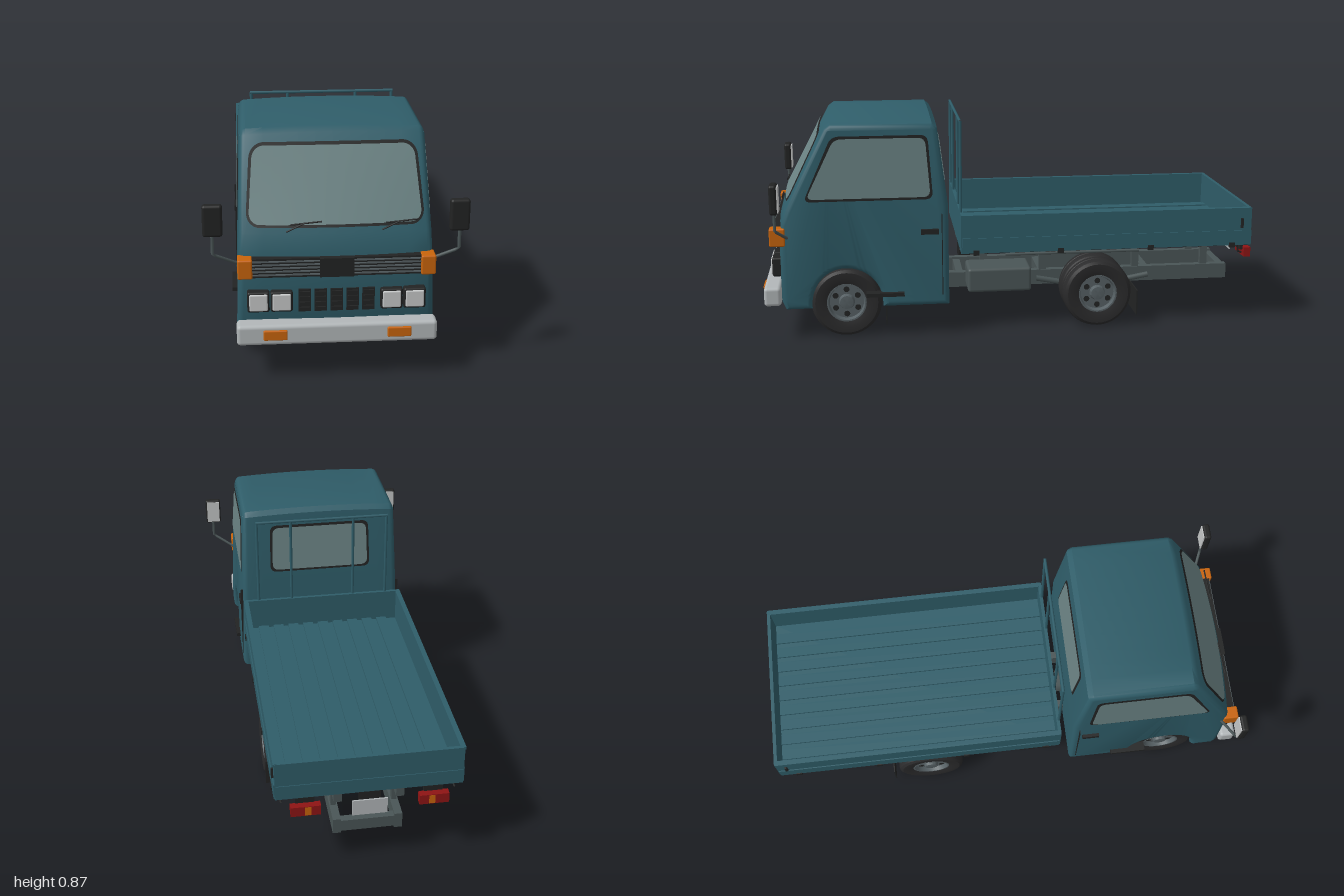
import * as THREE from 'three';
import { toCreasedNormals } from 'three/addons/utils/BufferGeometryUtils.js';
import { RoundedBoxGeometry } from 'three/addons/geometries/RoundedBoxGeometry.js';

const mat = (name, color, side = THREE.FrontSide) => {
  const m = new THREE.MeshStandardMaterial({ color, side });
  m.name = name;
  return m;
};

export function createModel() {
  const root = new THREE.Group();
  root.name = 'flatbedTruck';
  const teal = mat('tealPaint', 0x2f5d69);
  const glass = mat('glass', 0x6b8384, THREE.DoubleSide);
  const black = mat('blackTrim', 0x222323, THREE.DoubleSide);
  const rubber = mat('rubber', 0x2a2a2b);
  const silver = mat('bumperGrey', 0xb2b7b9);
  const lamp = mat('headlampLens', 0xc6c8c8);
  const orange = mat('orangeLens', 0xc8640c);
  const red = mat('redLens', 0x8e1414);
  const steel = mat('frameSteel', 0x4a5556);
  const rimGrey = mat('rimGrey', 0x566064);

  const add = (name, geo, m, parent = root) => {
    const mesh = new THREE.Mesh(geo, m);
    mesh.name = name;
    parent.add(mesh);
    return mesh;
  };
  // Box given by its extents: x0..x1, y0..y1, z0..z1
  const box = (name, m, x0, x1, y0, y1, z0, z1, r = 0) => {
    const s = [Math.abs(x1 - x0), y1 - y0, Math.abs(z1 - z0)];
    const g = r ? new RoundedBoxGeometry(...s, 3, r) : new THREE.BoxGeometry(...s);
    return add(name, g.translate((x0 + x1) / 2, (y0 + y1) / 2, (z0 + z1) / 2), m);
  };
  // Round bar through a list of points
  const bar = (name, m, r, ...pts) => {
    const path = new THREE.CurvePath();
    const v = pts.map(p => new THREE.Vector3(...p));
    for (let i = 1; i < v.length; i++) path.add(new THREE.LineCurve3(v[i - 1], v[i]));
    return add(name, new THREE.TubeGeometry(path, (v.length - 1) * 6, r, 8), m);
  };
  const remap = (g, rule) => {
    const p = g.attributes.position;
    for (let i = 0; i < p.count; i++) p.setXYZ(i, ...rule(p.getX(i), p.getY(i), p.getZ(i)));
    g.computeVertexNormals();
    return g;
  };
  const sides = fn => [-1, 1].forEach(fn);

  // Cab: side profile extruded across, then tapered upward, bowed in front and crowned
  const halfW = y => 0.355 - 0.025 * (y - 0.12) / 0.74;
  const bow = (z, u) => z - 0.02 * u * u * THREE.MathUtils.clamp((z - 0.7) / 0.2, 0, 1);
  const prof = new THREE.Shape();
  prof.moveTo(0.26, 0.125);
  prof.lineTo(0.525, 0.125);
  prof.absarc(0.67, 0.14, 0.145, Math.PI, 0, true);
  [[0.815, 0.125], [0.925, 0.125], [0.94, 0.16], [0.94, 0.4], [0.932, 0.47], [0.915, 0.53], [0.74, 0.852],
    [0.715, 0.868], [0.32, 0.868], [0.3, 0.85], [0.26, 0.53]].forEach(p => prof.lineTo(...p));
  const bev = 0.022, depth = 0.7 - 2 * bev;
  const cabGeo = new THREE.ExtrudeGeometry(prof, {
    depth, steps: 10, curveSegments: 24, bevelSize: bev, bevelThickness: bev, bevelOffset: -bev, bevelSegments: 4 });
  cabGeo.translate(0, 0, -depth / 2).rotateY(-Math.PI / 2);
  remap(cabGeo, (x, y, z) => {
    const u = x / 0.35;
    return [u * halfW(y), y > 0.84 ? y - 0.01 * u * u : y, bow(z, u)];
  });
  add('cabBody', toCreasedNormals(cabGeo, 0.6), teal);
  box('cabFloor', teal, -0.235, 0.235, 0.128, 0.32, 0.5, 0.86);

  // Windscreen: rounded panel following the bowed front
  const windscreen = (name, m, grow, off) => {
    const g = new THREE.PlaneGeometry(2, 2, 16, 32);
    const y0 = 0.562 - grow, y1 = 0.812 + grow, r = 0.04 + grow;
    add(name, remap(g, (u, v) => {
      const t = 0.5 + 0.5 * Math.sin(v * Math.PI / 2), y = y0 + (y1 - y0) * t;
      const d = r - Math.min(r, y - y0, y1 - y);
      const w = 0.307 + grow - 0.02 * t - r + Math.sqrt(Math.max(0, r * r - d * d));
      const x = u * w;
      return [x, y, bow(0.915 - 0.175 * (y - 0.53) / 0.322, x / halfW(y)) + off];
    }), m);
  };
  windscreen('windscreenSeal', black, 0.01, 0.005);
  windscreen('windscreen', glass, 0, 0.009);

  // Flat pane outline with rounded corners, grown outward from its centre
  const pane = (pts, grow) => {
    const c = pts.reduce((a, p) => [a[0] + p[0] / 4, a[1] + p[1] / 4], [0, 0]);
    const v = pts.map(p => new THREE.Vector2(p[0] + grow * Math.sign(p[0] - c[0]), p[1] + grow * Math.sign(p[1] - c[1])));
    const s = new THREE.Shape();
    v.forEach((p, i) => {
      const a = v[(i + 3) % 4], b = v[(i + 1) % 4];
      const p0 = p.clone().add(a.clone().sub(p).setLength(0.03));
      const p1 = p.clone().add(b.clone().sub(p).setLength(0.03));
      i ? s.lineTo(p0.x, p0.y) : s.moveTo(p0.x, p0.y);
      s.quadraticCurveTo(p.x, p.y, p1.x, p1.y);
    });
    return new THREE.ShapeGeometry(s, 6);
  };
  const sidePts = [[0.33, 0.57], [0.815, 0.57], [0.7, 0.805], [0.348, 0.805]];
  const rearPts = [[-0.21, 0.6], [0.21, 0.6], [0.205, 0.79], [-0.205, 0.79]];
  [['Seal', black, 0.01, 0.003], ['Glass', glass, 0, 0.006]].forEach(([n, m, grow, off]) => {
    sides(s => add('sideWindow' + n, remap(pane(sidePts, grow), (z, y) => [s * (halfW(y) + off), y, z]), m));
    add('rearWindow' + n, remap(pane(rearPts, grow), (x, y) => [x, y, 0.26 + 0.04 * (y - 0.53) / 0.32 - off]), m);
  });

  // Grille, vents and bumper
  box('grille', black, -0.3, 0.3, 0.385, 0.455, 0.9, 0.948);
  box('grilleCentre', black, -0.06, 0.06, 0.385, 0.455, 0.94, 0.956);
  for (let i = 0; i < 5; i++) {
    sides(s => box('grilleSlat', rimGrey, s * 0.06, s * 0.3, 0.393 + i * 0.0125, 0.398 + i * 0.0125, 0.945, 0.952));
    const x = (i - 2) * 0.0565;
    box('lowerVent', black, x - 0.022, x + 0.022, 0.25, 0.335, 0.92, 0.944);
    for (let j = 0; j < 4; j++) box('ventLouvre', black, x - 0.018, x + 0.018, 0.258 + j * 0.02, 0.268 + j * 0.02, 0.94, 0.95);
  }
  box('bumper', silver, -0.355, 0.355, 0.143, 0.22, 0.925, 0.992, 0.014);
  box('oilPan', black, -0.048, 0.048, 0.1, 0.13, 0.7, 0.9);

  sides(s => {
    // Lamps
    box('cornerLamp', orange, s * 0.296, s * 0.348, 0.385, 0.457, 0.9, 0.962, 0.006);
    box('bumperIndicator', orange, s * 0.177, s * 0.261, 0.166, 0.203, 0.985, 1, 0.004);
    [[0.155, 0.234], [0.237, 0.316]].forEach(([a, b]) => {
      box('headlampFrame', black, s * a, s * b, 0.255, 0.332, 0.9, 0.957, 0.008);
      box('headlamp', lamp, s * (a + 0.007), s * (b - 0.007), 0.262, 0.325, 0.94, 0.962, 0.005);
    });
    // Mirror on its bent arm
    bar('mirrorArm', steel, 0.006, [s * 0.335, 0.415, 0.89], [s * 0.432, 0.47, 0.93], [s * 0.432, 0.56, 0.93]);
    box('mirrorHousing', black, s * 0.395, s * 0.465, 0.54, 0.656, 0.915, 0.945, 0.01);
    box('mirrorGlass', lamp, s * 0.401, s * 0.459, 0.548, 0.648, 0.911, 0.916);
    // Door handle, step, seam
    box('doorHandle', black, s * 0.335, s * 0.357, 0.42, 0.44, 0.3, 0.37);
    box('step', black, s * 0.33, s * 0.37, 0.172, 0.187, 0.44, 0.59);
    box('doorSeam', black, s * 0.34, s * 0.3545, 0.17, 0.5, 0.285, 0.288);
    // Mud flaps
    box('frontMudFlap', black, s * 0.25, s * 0.335, 0.045, 0.18, 0.51, 0.515);
    box('rearMudFlap', black, s * 0.175, s * 0.335, 0.045, 0.15, -0.515, -0.51);
    // Wiper
    const x = s < 0 ? -0.11 : 0.225;
    bar('wiperArm', black, 0.003, [x - 0.065, 0.543, 0.918], [x, 0.57, 0.908]);
    bar('wiperBlade', black, 0.003, [x - 0.05, 0.566, 0.91], [x + 0.06, 0.574, 0.905]);
  });

  // Wheels
  const v2 = a => a.map(p => new THREE.Vector2(...p));
  const tyreGeo = toCreasedNormals(new THREE.LatheGeometry(v2([[0.076, -0.034], [0.1, -0.041], [0.125, -0.041], [0.136, -0.034],
    [0.14, -0.02], [0.14, -0.003], [0.136, 0], [0.14, 0.003], [0.14, 0.02], [0.136, 0.034], [0.125, 0.041], [0.1, 0.041], [0.076, 0.034]]), 40), 0.5);
  const rimGeo = toCreasedNormals(new THREE.LatheGeometry(v2([[0, -0.025], [0.078, -0.025], [0.079, 0.036], [0.073, 0.036],
    [0.068, 0.018], [0.032, 0.018], [0.027, 0.034], [0.012, 0.036], [0, 0.036]]), 32), 0.5);
  const wheel = (name, s, x, z) => {
    const g = new THREE.Group();
    g.name = name;
    add('tyre', tyreGeo, rubber, g);
    add('rim', rimGeo, rimGrey, g);
    for (let i = 0; i < 6; i++) {
      const a = i * Math.PI / 3;
      add('rimHole', new THREE.CircleGeometry(0.012, 12).rotateX(-Math.PI / 2).translate(0.051 * Math.cos(a), 0.02, 0.051 * Math.sin(a)), black, g);
    }
    g.rotation.z = -s * Math.PI / 2;
    g.position.set(s * x, 0.14, z);
    root.add(g);
  };
  sides(s => {
    wheel('frontWheel', s, 0.29, 0.67);
    wheel('rearOuterWheel', s, 0.292, -0.35);
    wheel('rearInnerWheel', s, 0.207, -0.35);
  });

  // Chassis
  sides(s => {
    box('chassisRail', steel, s * 0.1, s * 0.13, 0.127, 0.19, -0.95, 0.9);
    box('subframeRail', steel, s * 0.1, s * 0.13, 0.285, 0.332, -0.965, 0.2);
    [0.1, -0.15, -0.55, -0.85].forEach(z => box('bedMount', steel, s * 0.105, s * 0.125, 0.185, 0.29, z - 0.015, z + 0.015));
    bar('leafSpring', steel, 0.012, [s * 0.148, 0.16, -0.12], [s * 0.148, 0.115, -0.35], [s * 0.148, 0.16, -0.6]);
  });
  [0.2, -0.15, -0.6, -0.935].forEach(z => box('crossMember', steel, -0.13, 0.13, 0.135, 0.182, z - 0.015, z + 0.015));
  [0.67, -0.35].forEach(z => bar('axle', steel, 0.02, [-0.29, 0.14, z], [0.29, 0.14, z]));
  add('differential', new THREE.SphereGeometry(0.055, 20, 14).translate(0, 0.14, -0.35), steel);
  bar('driveShaft', steel, 0.014, [0, 0.15, 0.4], [0, 0.14, -0.35]);
  bar('gearbox', steel, 0.05, [0, 0.165, 0.24], [0, 0.165, 0.5]);
  box('batteryBox', black, -0.3, -0.17, 0.155, 0.245, 0.05, 0.18);
  box('airTank', steel, -0.24, -0.13, 0.19, 0.235, -0.05, 0.05, 0.015);
  box('fuelTank', steel, 0.14, 0.29, 0.15, 0.25, -0.08, 0.18, 0.012);

  // Cargo bed
  box('bedUnderside', black, -0.338, 0.338, 0.33, 0.337, -0.972, 0.205);
  box('bedFloor', teal, -0.335, 0.335, 0.337, 0.352, -0.972, 0.205);
  for (let i = -4; i <= 4; i++) box('floorRib', teal, i * 0.066 - 0.022, i * 0.066 + 0.022, 0.35, 0.361, -0.965, 0.198);
  box('headboard', teal, -0.343, 0.343, 0.332, 0.488, 0.197, 0.211);
  box('tailgate', teal, -0.343, 0.343, 0.332, 0.488, -0.98, -0.966);
  box('tailgateRail', teal, -0.34, 0.34, 0.335, 0.392, -0.983, -0.975);
  sides(s => {
    box('sideBoard', teal, s * 0.329, s * 0.343, 0.332, 0.488, -0.978, 0.209);
    box('sideBoardRail', teal, s * 0.34, s * 0.347, 0.335, 0.395, -0.975, 0.205);
    box('sideBoardCap', teal, s * 0.327, s * 0.347, 0.478, 0.489, -0.978, 0.209);
    box('boardLatch', black, s * 0.34, s * 0.351, 0.405, 0.445, -0.945, -0.935);
    [0.15, -0.19, -0.56, -0.9].forEach(z => box('boardHinge', black, s * 0.34, s * 0.351, 0.325, 0.345, z - 0.012, z + 0.012));
    bar('ropeRail', steel, 0.006, [s * 0.31, 0.315, 0.03], [s * 0.31, 0.315, -0.52]);
    bar('ropeHook', black, 0.004, [s * 0.32, 0.335, -0.93], [s * 0.32, 0.3, -0.935], [s * 0.32, 0.295, -0.95]);
    // Tail lamps
    box('tailLampRed', red, s * 0.18, s * 0.25, 0.265, 0.305, -1, -0.972);
    box('tailLampOrange', orange, s * 0.215, s * 0.238, 0.267, 0.303, -1, -0.985).position.z = -0.0005;
    box('tailLampOuter', red, s * 0.25, s * 0.29, 0.265, 0.305, -1, -0.972);
    box('tailLampBracket', black, s * 0.2, s * 0.27, 0.29, 0.335, -0.975, -0.962);
    // Ladder rack posts
    [0.28, 0.135].forEach(x => bar('rackPost', teal, 0.006, [s * x, 0.35, 0.207], [s * x, 0.858, 0.207]));
  });
  bar('rackBar', teal, 0.006, [-0.284, 0.856, 0.207], [0.284, 0.856, 0.207]);
  box('numberPlate', silver, -0.065, 0.065, 0.235, 0.3, -0.988, -0.982);
  box('plateBracket', black, -0.04, 0.04, 0.28, 0.335, -0.982, -0.968);

  return root;
}
